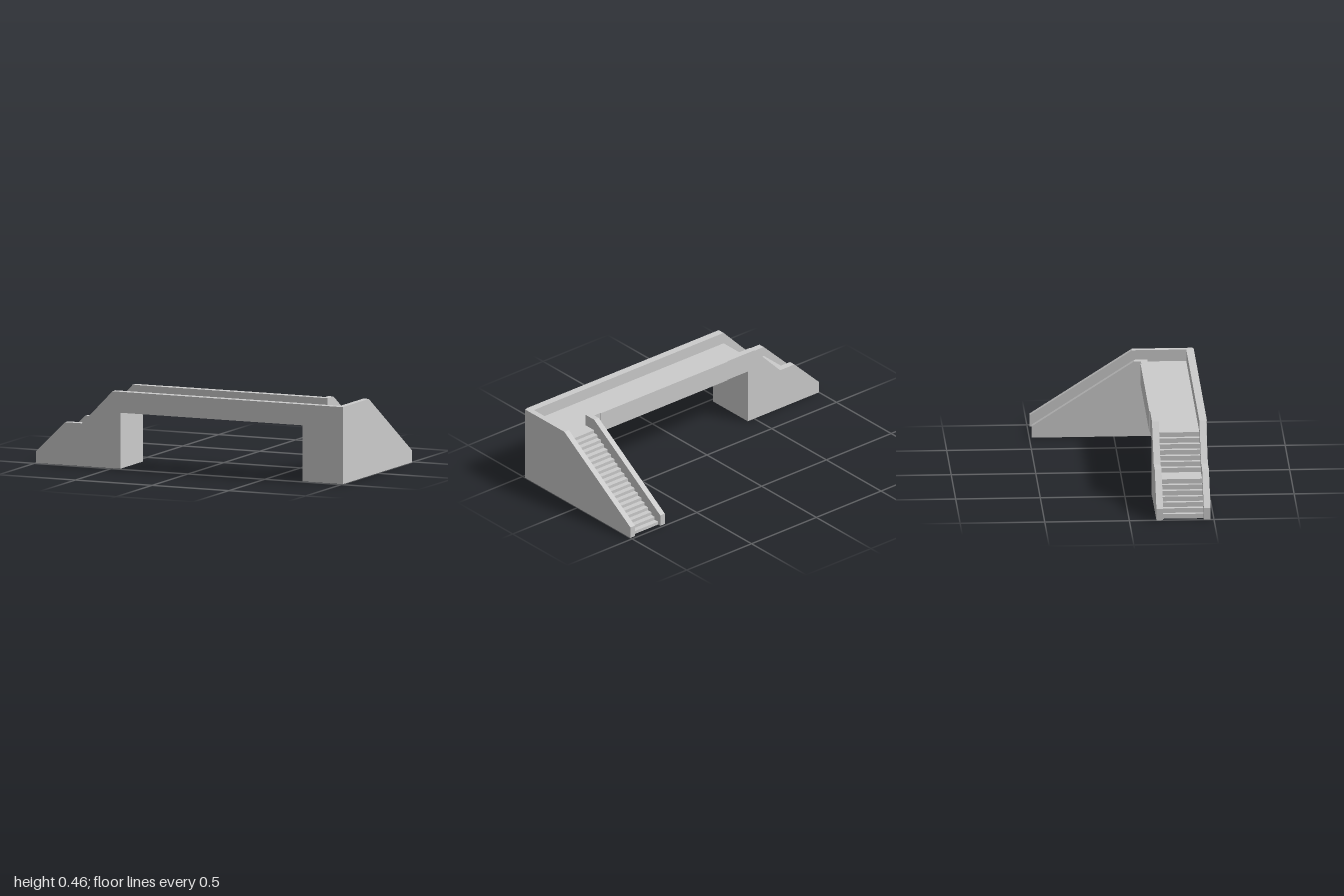
import * as THREE from 'three';

const FLOOR = 0.39, SOFFIT = 0.335, TOP = 0.46;
const material = new THREE.MeshStandardMaterial({ color: 0xcccccc, flatShading: true, side: THREE.DoubleSide });

// Zigzag of risers and treads from the first riser u0 to the last riser u1
function flight(u0, u1, y0, y1, risers) {
  const pts = [];
  for (let i = 0; i < risers; i++) {
    const u = u0 + (u1 - u0) * i / (risers - 1);
    pts.push([u, y0 + (y1 - y0) * i / risers], [u, y0 + (y1 - y0) * (i + 1) / risers]);
  }
  return pts;
}

const shapeOf = pts => new THREE.Shape(pts.map(p => new THREE.Vector2(...p)));
const solid = (pts, depth) => new THREE.ExtrudeGeometry(shapeOf(pts), { depth, bevelEnabled: false });
const sheet = pts => new THREE.ShapeGeometry(shapeOf(pts));

// Folded sheet: a profile line swept from depth 0 to the given depth
function ribbon(pts, depth) {
  const pos = [];
  for (let i = 0; i < pts.length - 1; i++) {
    const [a, b] = pts[i], [c, d] = pts[i + 1];
    pos.push(a, b, 0, a, b, depth, c, d, depth, a, b, 0, c, d, depth, c, d, 0);
  }
  const g = new THREE.BufferGeometry();
  g.setAttribute('position', new THREE.Float32BufferAttribute(pos, 3));
  g.computeVertexNormals();
  return g;
}

export function createModel() {
  const model = new THREE.Group();
  model.name = 'footbridge';
  const add = (name, geometry) => {
    const mesh = new THREE.Mesh(geometry, material);
    mesh.name = name;
    model.add(mesh);
  };
  // Profiles along x start at depth z; profiles along z extend from x towards -x
  const alongX = (name, g, z) => add(name, g.translate(0, 0, z));
  const alongZ = (name, g, x) => add(name, g.rotateY(-Math.PI / 2).translate(x, 0, 0));

  const sideSteps = [...flight(-0.97, -0.81, 0, 0.195, 7), ...flight(-0.67, -0.5, 0.195, FLOOR, 7)];
  const rearSteps = flight(-0.465, 0.12, 0, FLOOR, 20);

  // Walking surfaces
  alongX('sideStairAndDeck', ribbon([...sideSteps, [0.965, FLOOR]], 0.24), 0.2);
  alongZ('rearStair', ribbon([...rearSteps, [0.2, FLOOR]], 0.195), 0.965);

  // Pier face and underside of the span
  alongX('pierAndSoffit', ribbon([[-0.45, 0], [-0.45, SOFFIT], [0.735, SOFFIT]], 0.32), 0.16);

  // Parapets along the span, following the side stair
  const spanParapet = end => solid([[-1, 0], [-1, 0.07], [-0.81, 0.255], [-0.7, 0.255], [-0.5, TOP],
    [end, TOP], [end, FLOOR], ...[...sideSteps].reverse()], 0.04);
  alongX('frontParapet', spanParapet(1), 0.44);
  alongX('backParapet', spanParapet(0.735), 0.16);

  // Parapets along the rear stair
  const rearParapet = end => solid([[-0.485, 0], [-0.485, 0.07], [0.12, TOP],
    [end, TOP], [end, FLOOR], ...[...rearSteps].reverse()], 0.035);
  alongZ('outerParapet', rearParapet(0.44), 1);
  alongZ('innerParapet', rearParapet(0.2), 0.77);

  // Hollow supporting walls below the walking surfaces
  const underSpan = [[0.735, SOFFIT], [-0.45, SOFFIT], [-0.45, 0]];
  alongX('frontWall', sheet([...sideSteps, [1, FLOOR], [1, 0], [0.735, 0], ...underSpan]), 0.48);
  alongX('backWall', sheet([...sideSteps, [0.735, FLOOR], ...underSpan]), 0.16);
  alongZ('outerWall', sheet([...rearSteps, [0.48, FLOOR], [0.48, 0]]), 1);
  alongZ('innerWall', sheet([...rearSteps, [0.16, FLOOR], [0.16, SOFFIT], [0.48, SOFFIT], [0.48, 0]]), 0.735);

  // Thin facing panels on both sides of the span
  for (const [name, x0, x1, z] of [['frontPanel', -0.5, 0.985, 0.4825], ['backPanel', -0.29, 0.69, 0.1575]]) {
    add(name, new THREE.BoxGeometry(x1 - x0, TOP - SOFFIT, 0.005)
      .translate((x0 + x1) / 2, (TOP + SOFFIT) / 2, z));
  }
  return model;
}
